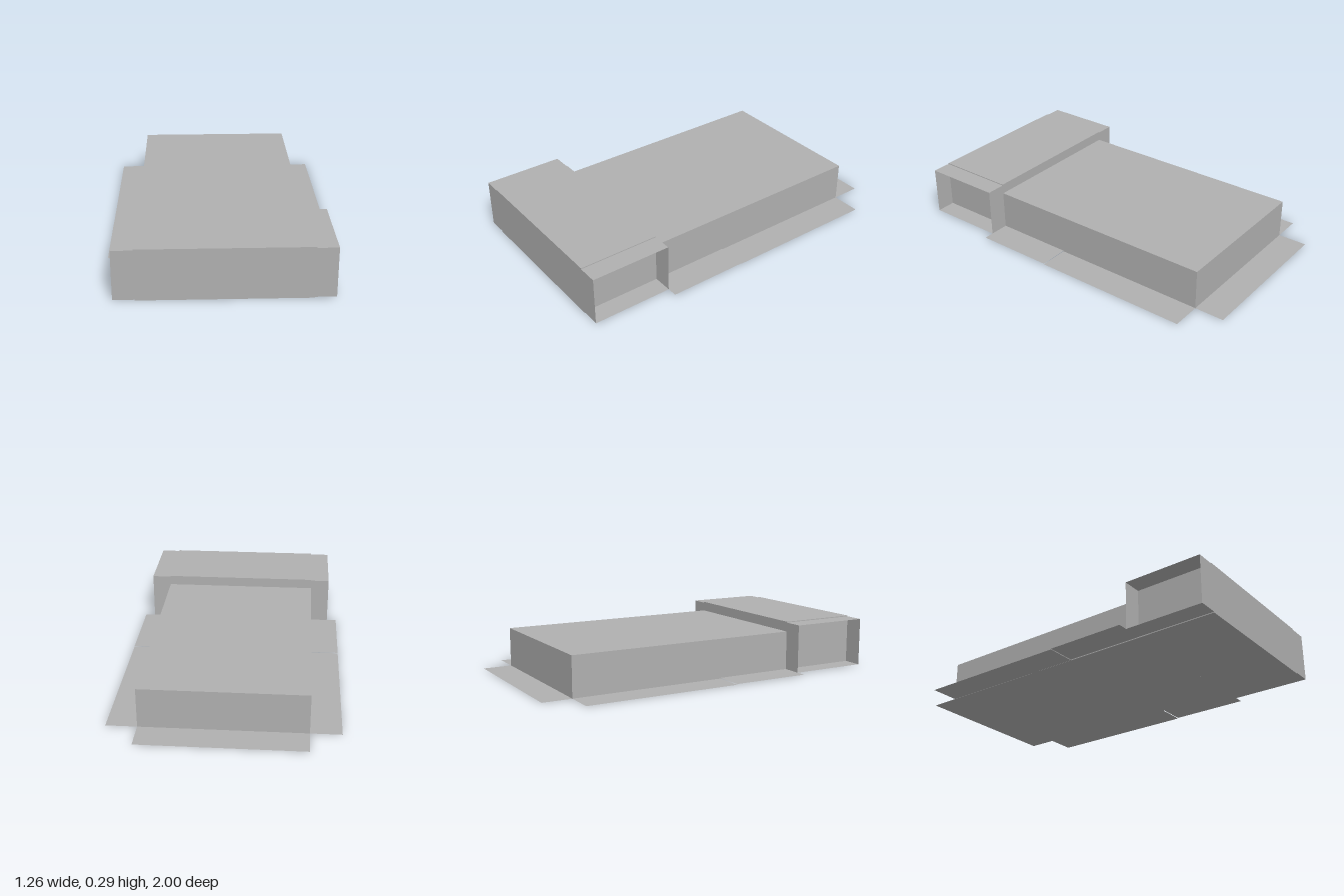
import * as THREE from 'three';

export function createModel() {
  const model = new THREE.Group();
  const grey = new THREE.MeshStandardMaterial({ color: 0xb0b0b0, side: THREE.DoubleSide });
  grey.name = 'plain grey';

  const add = (name, geometry) => {
    const mesh = new THREE.Mesh(geometry, grey);
    mesh.name = name;
    model.add(mesh);
  };
  // Closed block between two corners
  const block = (name, x0, x1, y0, y1, z0, z1) => add(name,
    new THREE.BoxGeometry(x1 - x0, y1 - y0, z1 - z0)
      .translate((x0 + x1) / 2, (y0 + y1) / 2, (z0 + z1) / 2));
  // Horizontal sheet at height y, facing up
  const sheet = (name, x0, x1, z0, z1, y) => add(name,
    new THREE.PlaneGeometry(x1 - x0, z1 - z0).rotateX(-Math.PI / 2)
      .translate((x0 + x1) / 2, y, (z0 + z1) / 2));
  // Upright sheet at depth z, facing forward
  const panel = (name, x0, x1, y0, y1, z) => add(name,
    new THREE.PlaneGeometry(x1 - x0, y1 - y0)
      .translate((x0 + x1) / 2, (y0 + y1) / 2, z));

  const inner = 0.457, end = 0.57, outer = 0.628;
  const back = -0.83, step = 0.54, front = 1;

  // Long low body and taller front section
  block('body', -inner, inner, 0, 0.23, back, step);
  block('frontSection', -inner, inner, 0, 0.288, step, front);

  // Flat flap behind the body
  sheet('backFlap', -inner, inner, -1, back, 0.001);

  for (const [side, s] of [['left', 1], ['right', -1]]) {
    const span = (a, b) => (s > 0 ? [a, b] : [-b, -a]);
    const sleeve = span(inner, end), flap = span(inner, outer);

    // Side flaps, in two lengths
    sheet(side + 'RearFlap', ...flap, back, 0.08, 0.001);
    sheet(side + 'FrontFlap', ...flap, 0.08, step, 0.005);

    // Open-ended sleeve beside the front section
    sheet(side + 'SleeveTop', ...sleeve, step, front, 0.283);
    sheet(side + 'SleeveFloor', ...sleeve, step, front, 0.005);
    panel(side + 'SleeveFront', ...sleeve, 0.005, 0.283, front);
    panel(side + 'SleeveBack', ...sleeve, 0.005, 0.283, step);
  }
  return model;
}
